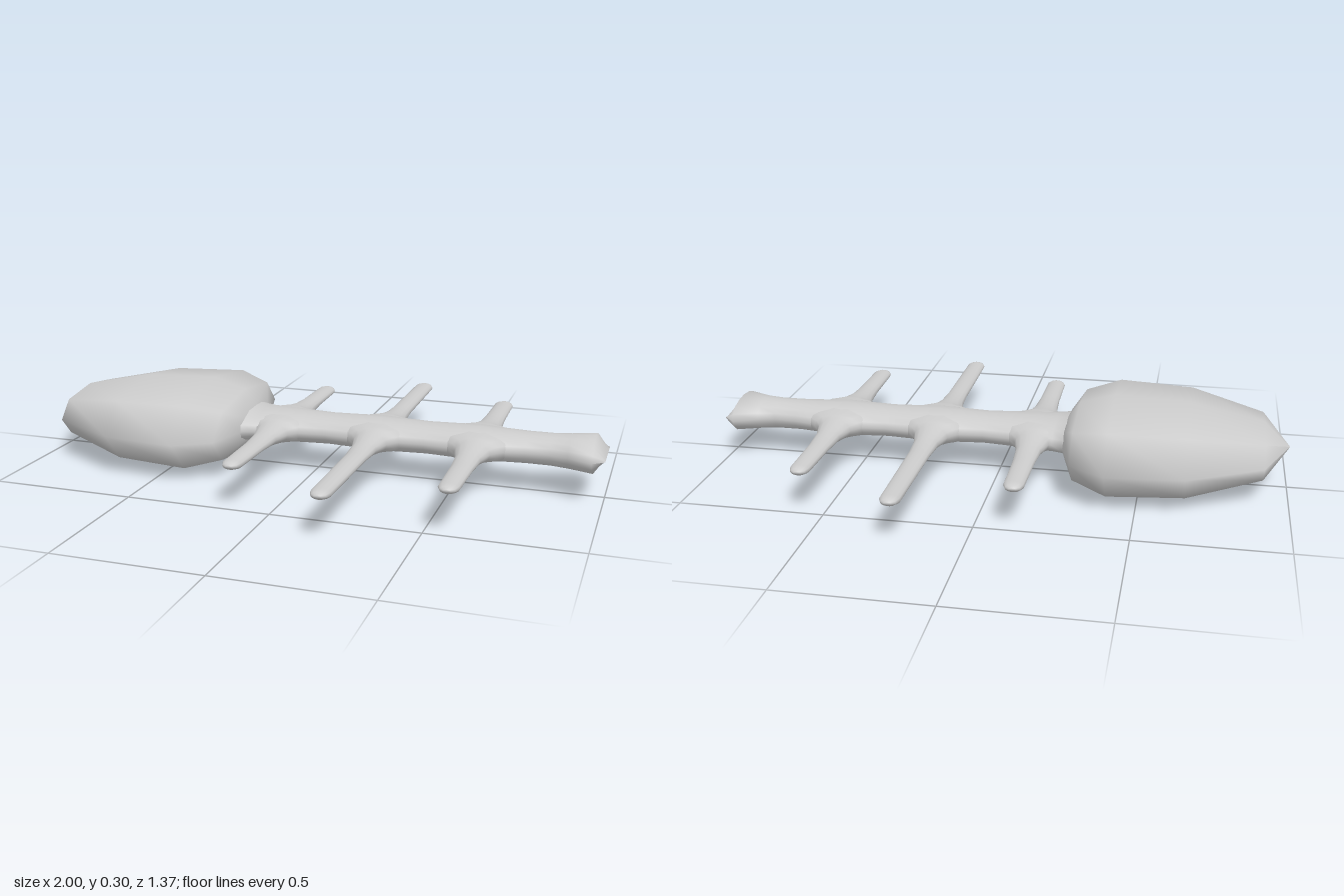
import * as THREE from 'three';

const material = new THREE.MeshStandardMaterial({ color: 0xcccccc, side: THREE.DoubleSide });
const MID = 0.155; // height of the central plane

// Skin oval rings [x, half width in z, half height in y] strung along x
function loft(name, sections, sides) {
  const pos = [], index = [];
  for (const [x, w, h] of sections) {
    for (let j = 0; j < sides; j++) {
      const a = (j / sides) * Math.PI * 2;
      // low side counts get slightly squarer shoulders
      const k = sides === 8 && j % 2 ? 1.04 : 1;
      pos.push(x, Math.sin(a) * h * k, Math.cos(a) * w * k);
    }
  }
  for (let i = 0; i < sections.length - 1; i++) {
    for (let j = 0; j < sides; j++) {
      const a = i * sides + j, b = i * sides + (j + 1) % sides;
      index.push(a, a + sides, b, b, a + sides, b + sides);
    }
  }
  const geometry = new THREE.BufferGeometry();
  geometry.setAttribute('position', new THREE.Float32BufferAttribute(pos, 3));
  geometry.setIndex(index);
  geometry.computeVertexNormals();
  const mesh = new THREE.Mesh(geometry, material);
  mesh.name = name;
  mesh.position.y = MID;
  return mesh;
}

export function createModel() {
  const group = new THREE.Group();
  group.name = 'fishbone';

  // Faceted bulbous head, pointed at the nose
  group.add(loft('head', [
    [-1, 0, 0], [-0.91, 0.215, 0.085], [-0.66, 0.35, 0.14], [-0.4, 0.375, 0.15],
    [-0.28, 0.3, 0.115], [-0.24, 0.16, 0.06], [-0.22, 0, 0],
  ], 8));

  // Spine with a narrow waist and a flared, wedge-ended tail
  group.add(loft('spine', [
    [-0.27, 0.2, 0.07], [-0.235, 0.145, 0.056], [-0.2, 0.135, 0.053], [-0.13, 0.12, 0.055],
    [-0.04, 0.1, 0.054], [0.05, 0.09, 0.052], [0.14, 0.097, 0.054], [0.225, 0.11, 0.056],
    [0.31, 0.097, 0.054], [0.4, 0.09, 0.052], [0.49, 0.097, 0.054], [0.575, 0.11, 0.056],
    [0.66, 0.093, 0.053], [0.74, 0.077, 0.052], [0.82, 0.071, 0.053], [0.88, 0.085, 0.056],
    [0.96, 0.12, 0.062], [1, 0.088, 0],
  ], 16));

  // Three pairs of ribs blending into the spine with a flared root
  for (const [x, length] of [[-0.13, 0.515], [0.225, 0.685], [0.575, 0.515]]) {
    for (const side of [1, -1]) {
      const rib = loft(side > 0 ? 'frontRib' : 'backRib', [
        [0, 0.13, 0.055], [0.075, 0.125, 0.047], [0.1, 0.085, 0.043], [0.13, 0.06, 0.037],
        [0.2, 0.043, 0.026], [0.3, 0.037, 0.019], [length - 0.03, 0.034, 0.017],
        [length - 0.008, 0.025, 0.012], [length, 0.012, 0.005], [length, 0, 0],
      ], 14);
      rib.rotation.y = -side * Math.PI / 2;
      rib.position.x = x;
      group.add(rib);
    }
  }
  return group;
}
